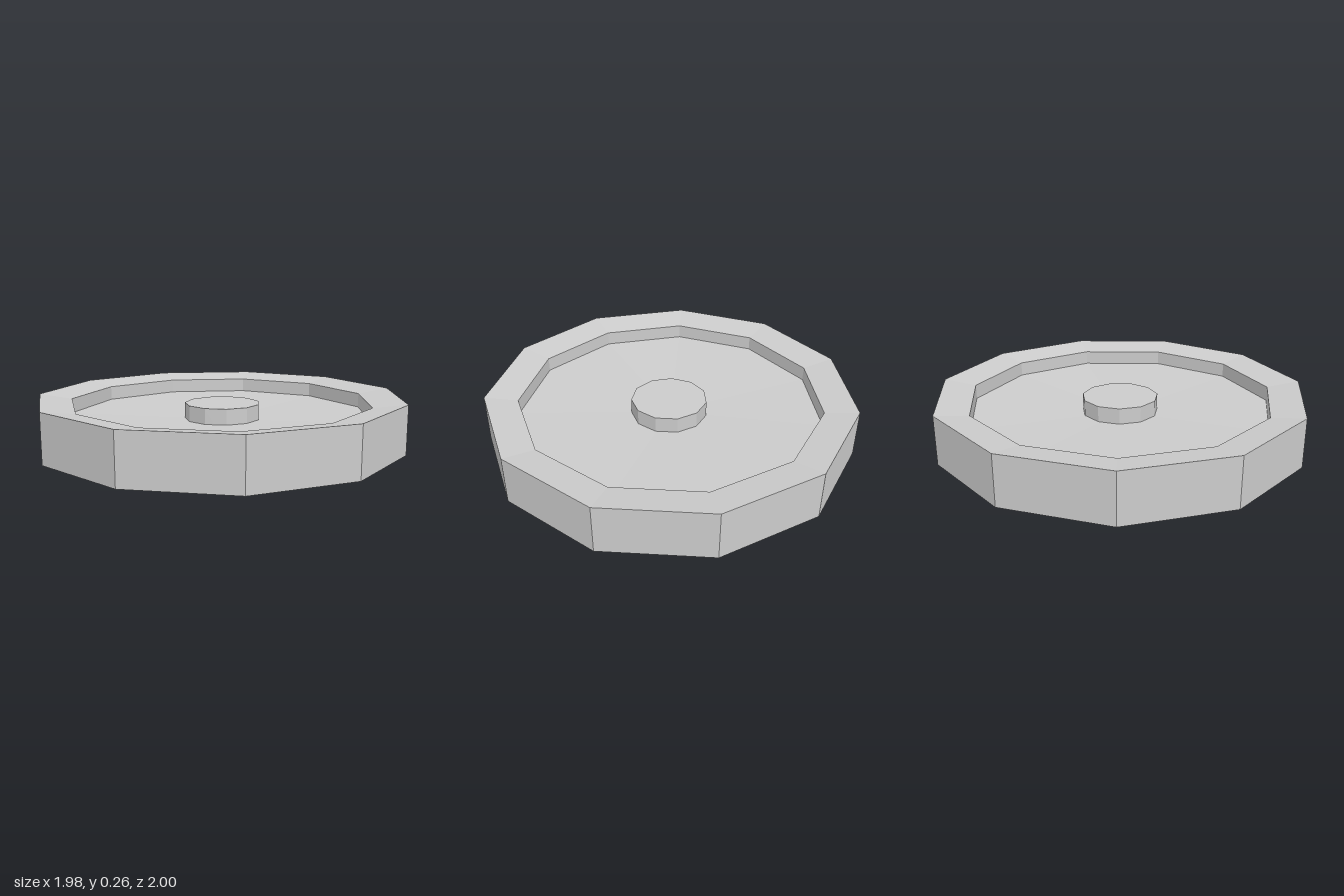
import * as THREE from 'three';

const SIDES = 11;
const MID = 0.1325; // half of the total height

// Faceted solid of revolution, mirrored about its middle plane.
// The half profile runs from the middle plane to the top as [radius, height].
function mirroredLathe(name, half, closed, x) {
  const material = new THREE.MeshStandardMaterial({ color: 0xcccccc, flatShading: true });
  const lower = half.slice().reverse().map(([r, h]) => new THREE.Vector2(r, -h));
  const upper = half.map(([r, h]) => new THREE.Vector2(r, h));
  const points = [...lower, ...upper];
  if (closed) points.push(points[0].clone());
  const geometry = new THREE.LatheGeometry(points, SIDES, Math.PI / 2);
  const mesh = new THREE.Mesh(geometry, material);
  mesh.name = name;
  mesh.position.set(x, MID, 0);
  return mesh;
}

export function createModel() {
  const wheel = new THREE.Group();
  wheel.name = 'wheel';

  // Outer ring: its faces slope inward to the recess walls
  wheel.add(mirroredLathe('rim', [[1.01, MID], [0.83, 0.106], [0.83, 0.027]], true, -0.02));

  // Thin dished disc, thinner toward the hub
  wheel.add(mirroredLathe('web', [[0.83, 0.027], [0.2, 0.004], [0, 0.003]], false, -0.02));

  // Central boss standing out on both faces
  wheel.add(mirroredLathe('hub', [[0.208, 0.09], [0, 0.09]], false, -0.009));

  return wheel;
}
